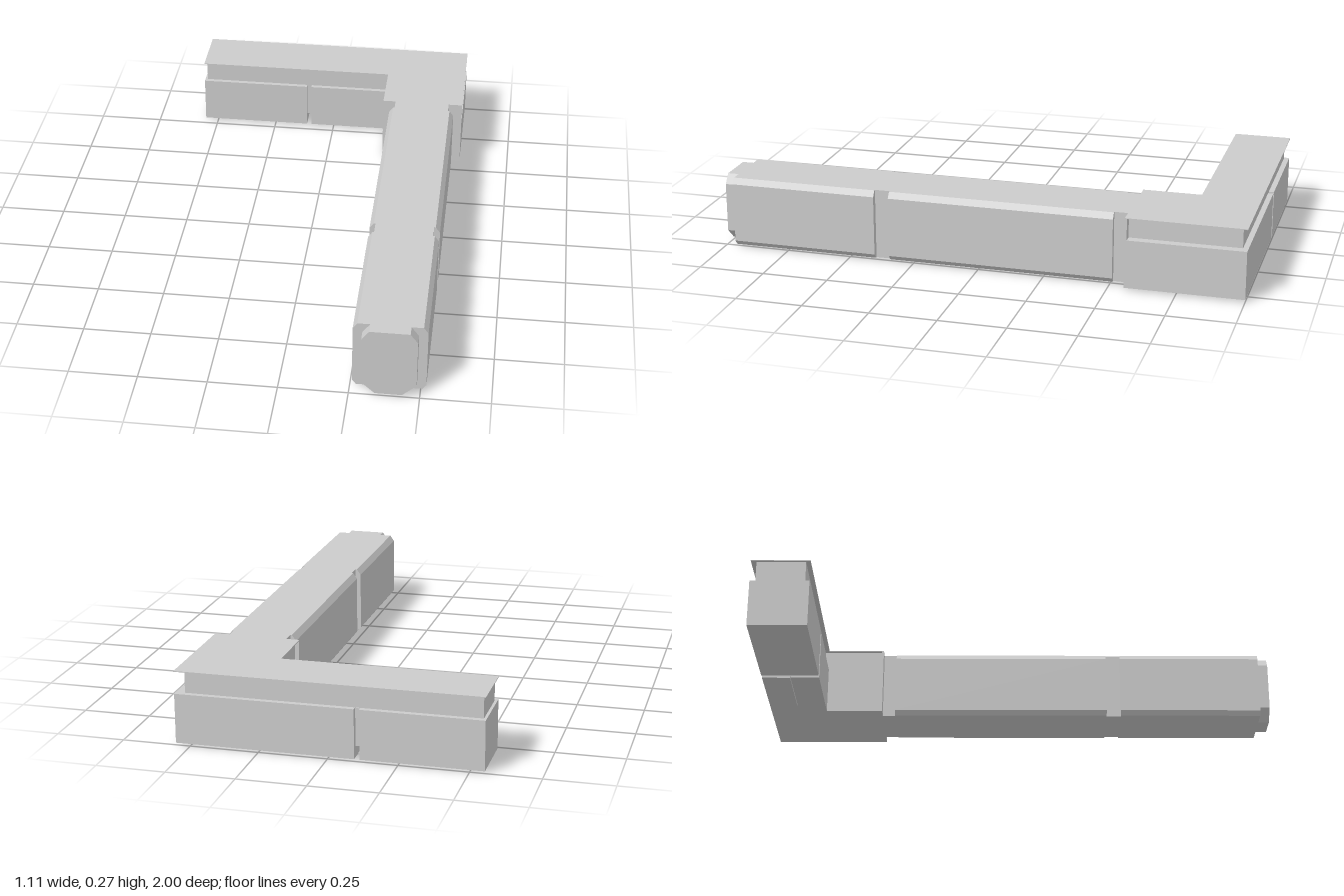
import * as THREE from 'three';

const material = new THREE.MeshStandardMaterial({ color: 0xcccccc, flatShading: true });
const BOTTOM = 0.008, TOP = 0.274, LEDGE = 0.19;

function add(group, name, geometry) {
  const mesh = new THREE.Mesh(geometry, material);
  mesh.name = name;
  group.add(mesh);
}

// Box given by its two opposite corners
function box(x0, x1, y0, y1, z0, z1) {
  return new THREE.BoxGeometry(x1 - x0, y1 - y0, z1 - z0)
    .translate((x0 + x1) / 2, (y0 + y1) / 2, (z0 + z1) / 2);
}

// Upright prism over an outline of [x, z] points
function prism(points, y0, y1) {
  const shape = new THREE.Shape(points.map(([x, z]) => new THREE.Vector2(x, -z)));
  return new THREE.ExtrudeGeometry(shape, { depth: y1 - y0, bevelEnabled: false })
    .rotateX(-Math.PI / 2).translate(0, y0, 0);
}

// Corner outline: a bar along x and a short leg along z
function elbow(left, right, back, front, inner, legEnd) {
  return [[left, back], [right, back], [right, legEnd], [inner, legEnd], [inner, front], [left, front]];
}

// Beam along z with cut corners; each cut is [width, height]
function beam(x0, x1, topCut, bottomCut, z0, z1) {
  const [tw, th] = topCut, [bw, bh] = bottomCut;
  const shape = new THREE.Shape([
    [x0 + bw, BOTTOM], [x1 - bw, BOTTOM], [x1, BOTTOM + bh], [x1, TOP - th],
    [x1 - tw, TOP], [x0 + tw, TOP], [x0, TOP - th], [x0, BOTTOM + bh],
  ].map(([x, y]) => new THREE.Vector2(x, y)));
  return new THREE.ExtrudeGeometry(shape, { depth: z1 - z0, bevelEnabled: false }).translate(0, 0, z0);
}

export function createModel() {
  const model = new THREE.Group();
  model.name = 'cornerBeam';

  // Corner section: lower blocks, recessed wall and overhanging top plate
  add(model, 'endBlock', box(-0.553, -0.114, BOTTOM, LEDGE, -1, -0.78));
  add(model, 'cornerBlock', prism(elbow(-0.095, 0.553, -1, -0.78, 0.23, -0.56), BOTTOM, LEDGE));
  add(model, 'jointCore', box(-0.12, -0.09, 0.05, LEDGE - 0.002, -0.98, -0.8));
  add(model, 'recessedWall', prism(elbow(-0.543, 0.52, -0.98, -0.797, 0.245, -0.562), LEDGE, TOP - 0.003));
  add(model, 'topPlate', prism(elbow(-0.553, 0.553, -1, -0.78, 0.23, -0.56), TOP - 0.003, TOP));
  add(model, 'legFlange', box(0.23, 0.553, LEDGE, TOP - 0.002, -0.568, -0.56));
  add(model, 'bottomPanel', box(-0.105, 0.165, 0, BOTTOM + 0.002, -0.94, -0.89));

  // Long beam: bevelled segments separated by narrow necks
  for (const [z0, z1] of [[-0.51, 0.34], [0.397, 0.957]])
    add(model, 'beamSegment', beam(0.258, 0.52, [0.016, 0.022], [0.014, 0.018], z0, z1));
  for (const [z0, z1] of [[-0.56, -0.51], [0.34, 0.397]])
    add(model, 'beamNeck', box(0.28, 0.498, BOTTOM, TOP, z0, z1));

  // Octagonal cap at the front end
  add(model, 'endCap', beam(0.292, 0.488, [0.027, 0.035], [0.05, 0.045], 0.957, 1));

  return model;
}
